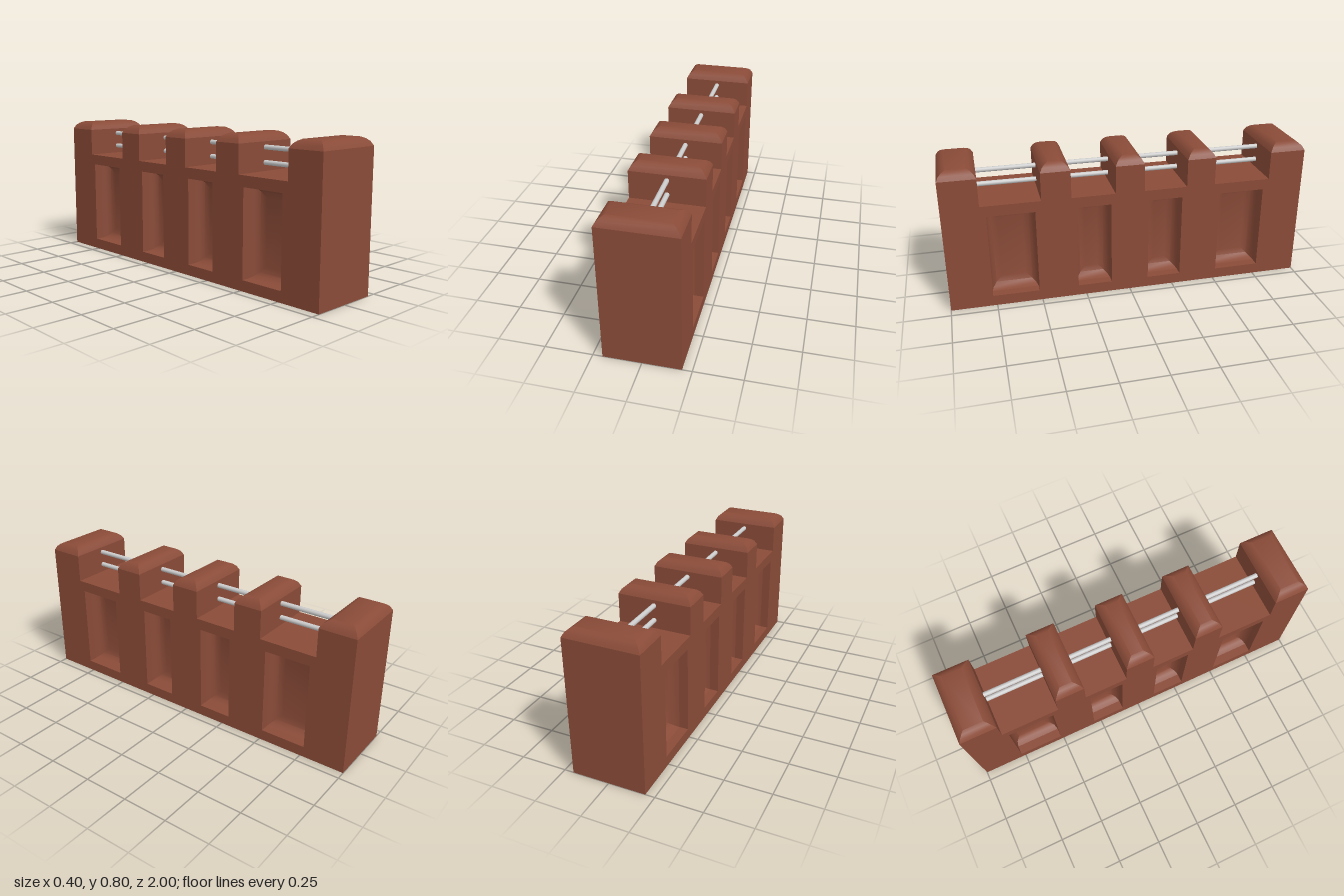
import * as THREE from 'three';
import { toCreasedNormals } from 'three/addons/utils/BufferGeometryUtils.js';

const brick = new THREE.MeshStandardMaterial({ color: 0x8a4b38 });
const metal = new THREE.MeshStandardMaterial({ color: 0xcccccc });

const HALF_WIDTH = 0.2, LEDGE = 0.6, POST_SIDE = 0.755;
// Posts and recesses along the length: [centre, size]
const POSTS = [[0.9, 0.2], [0.4, 0.16], [0, 0.16], [-0.4, 0.16], [-0.9, 0.2]];
const RECESSES = [[0.642, 0.255], [0.2, 0.19], [-0.2, 0.19], [-0.642, 0.255]];
const RECESS_BOTTOM = 0.06, RECESS_TOP = 0.54;

// Rectangle stepped through [inset, z] rings and closed by a flat face towards +z
function insetLoft(w, h, rings) {
  const pos = [];
  const loops = rings.map(([inset, z]) => {
    const x = w / 2 - inset, y = h / 2 - inset;
    return [[-x, -y, z], [x, -y, z], [x, y, z], [-x, y, z]];
  });
  const quad = (a, b, c, d) => pos.push(...a, ...b, ...c, ...a, ...c, ...d);
  for (let i = 0; i < loops.length - 1; i++) {
    for (let k = 0; k < 4; k++) {
      const n = (k + 1) % 4;
      quad(loops[i][k], loops[i][n], loops[i + 1][n], loops[i + 1][k]);
    }
  }
  quad(...loops[loops.length - 1]);
  const geo = new THREE.BufferGeometry();
  geo.setAttribute('position', new THREE.Float32BufferAttribute(pos, 3));
  return toCreasedNormals(geo, 0.6);
}

function add(parent, name, geo, mat, x = 0, y = 0, z = 0) {
  const mesh = new THREE.Mesh(geo, mat);
  mesh.name = name;
  mesh.position.set(x, y, z);
  parent.add(mesh);
  return mesh;
}

// Crenellated wall outline, with openings for the recesses
function wallGeometry() {
  const shape = new THREE.Shape();
  shape.moveTo(-1, 0);
  shape.lineTo(1, 0);
  POSTS.forEach(([c, size], i) => {
    const a = c + size / 2, b = c - size / 2;
    if (i > 0) shape.lineTo(a, LEDGE);
    shape.lineTo(a, POST_SIDE);
    shape.lineTo(b, POST_SIDE);
    if (i < POSTS.length - 1) shape.lineTo(b, LEDGE);
  });
  shape.closePath();
  for (const [c, size] of RECESSES) {
    const hole = new THREE.Path();
    hole.moveTo(c - size / 2, RECESS_BOTTOM);
    hole.lineTo(c - size / 2, RECESS_TOP);
    hole.lineTo(c + size / 2, RECESS_TOP);
    hole.lineTo(c + size / 2, RECESS_BOTTOM);
    hole.closePath();
    shape.holes.push(hole);
  }
  const geo = new THREE.ExtrudeGeometry(shape, { depth: HALF_WIDTH * 2, bevelEnabled: false });
  return geo.translate(0, 0, -HALF_WIDTH).rotateY(-Math.PI / 2);
}

export function createModel() {
  const group = new THREE.Group();
  group.name = 'parapetWall';

  add(group, 'wall', wallGeometry(), brick);

  // Rounded post tops
  const capRings = [[0, 0], [0.013, 0.023], [0.028, 0.036], [0.046, 0.045]];
  for (const [c, size] of POSTS) {
    const geo = insetLoft(HALF_WIDTH * 2, size, capRings).rotateX(-Math.PI / 2);
    add(group, 'postTop', geo, brick, 0, POST_SIDE, c);
  }

  // Rounded backs of the recesses on both long sides
  const backRings = [[0, -0.05], [0.008, -0.078], [0.028, -0.1], [0.06, -0.11]];
  const h = RECESS_TOP - RECESS_BOTTOM;
  for (const side of [-1, 1]) {
    for (const [c, size] of RECESSES) {
      const geo = insetLoft(size, h, backRings).rotateY(side * Math.PI / 2);
      add(group, 'recessBack', geo, brick, side * HALF_WIDTH, RECESS_BOTTOM + h / 2, c);
    }
  }

  // Two rails running through the posts
  for (const y of [0.645, 0.725]) {
    const geo = new THREE.CylinderGeometry(0.013, 0.013, 1.62, 16).rotateX(Math.PI / 2);
    add(group, 'rail', geo, metal, 0, y, 0);
  }

  return group;
}
